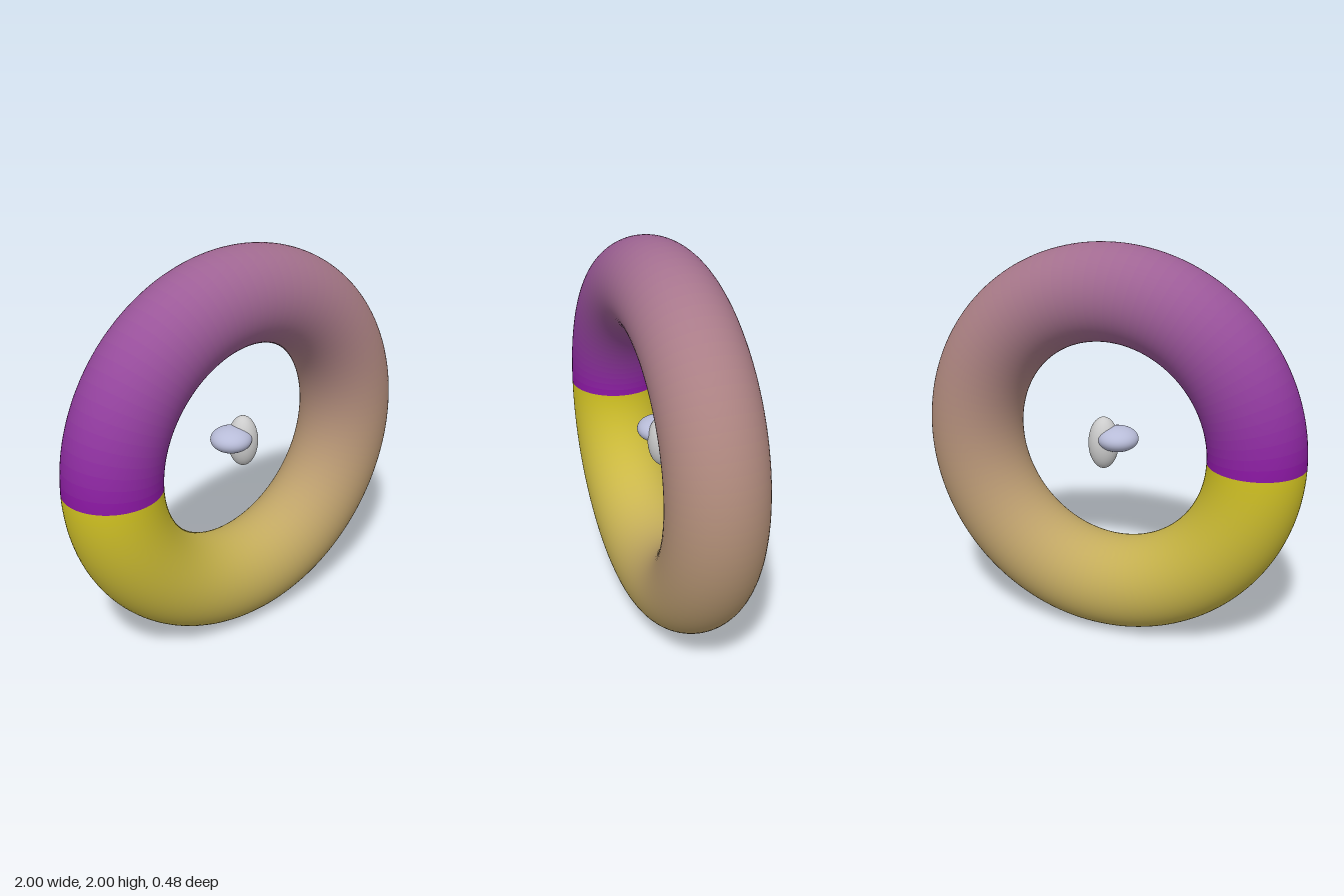
import * as THREE from 'three';

const CENTER_Y = 1;
const RING_RADIUS = 0.76;
const TUBE_RADIUS = 0.24;
const SECTORS = 96;

// Squashed sphere used for the two small bodies inside the ring
function ellipsoid(name, color, radii, position) {
  const mesh = new THREE.Mesh(
    new THREE.SphereGeometry(1, 48, 32),
    new THREE.MeshStandardMaterial({ color })
  );
  mesh.name = name;
  mesh.scale.set(...radii);
  mesh.position.set(...position);
  return mesh;
}

// Ring made of short torus sectors whose colour runs from yellow to purple
function gradientRing() {
  const ring = new THREE.Group();
  ring.name = 'ring';
  const yellow = new THREE.Color(0xd2c322);
  const purple = new THREE.Color(0x8c18a4);
  const arc = (Math.PI * 2) / SECTORS;
  const sector = new THREE.TorusGeometry(RING_RADIUS, TUBE_RADIUS, 64, 2, arc);
  for (let i = 0; i < SECTORS; i++) {
    const color = yellow.clone().lerp(purple, i / (SECTORS - 1));
    const mesh = new THREE.Mesh(sector, new THREE.MeshStandardMaterial({ color }));
    mesh.name = `ringSector${i + 1}`;
    // The colour seam sits on the -x side
    mesh.rotation.z = -Math.PI + 0.015 + i * arc;
    ring.add(mesh);
  }
  ring.position.y = CENTER_Y;
  return ring;
}

export function createModel() {
  const model = new THREE.Group();
  model.name = 'ringWithCore';
  model.add(gradientRing());

  // Upright grey body and flat bluish body, intersecting at the middle
  model.add(ellipsoid('uprightCore', 0xcccccc, [0.077, 0.135, 0.077], [0.037, 0.99, 0]));
  model.add(ellipsoid('flatCore', 0xb8bcd8, [0.105, 0.063, 0.105], [-0.04, 1.022, 0]));
  return model;
}
